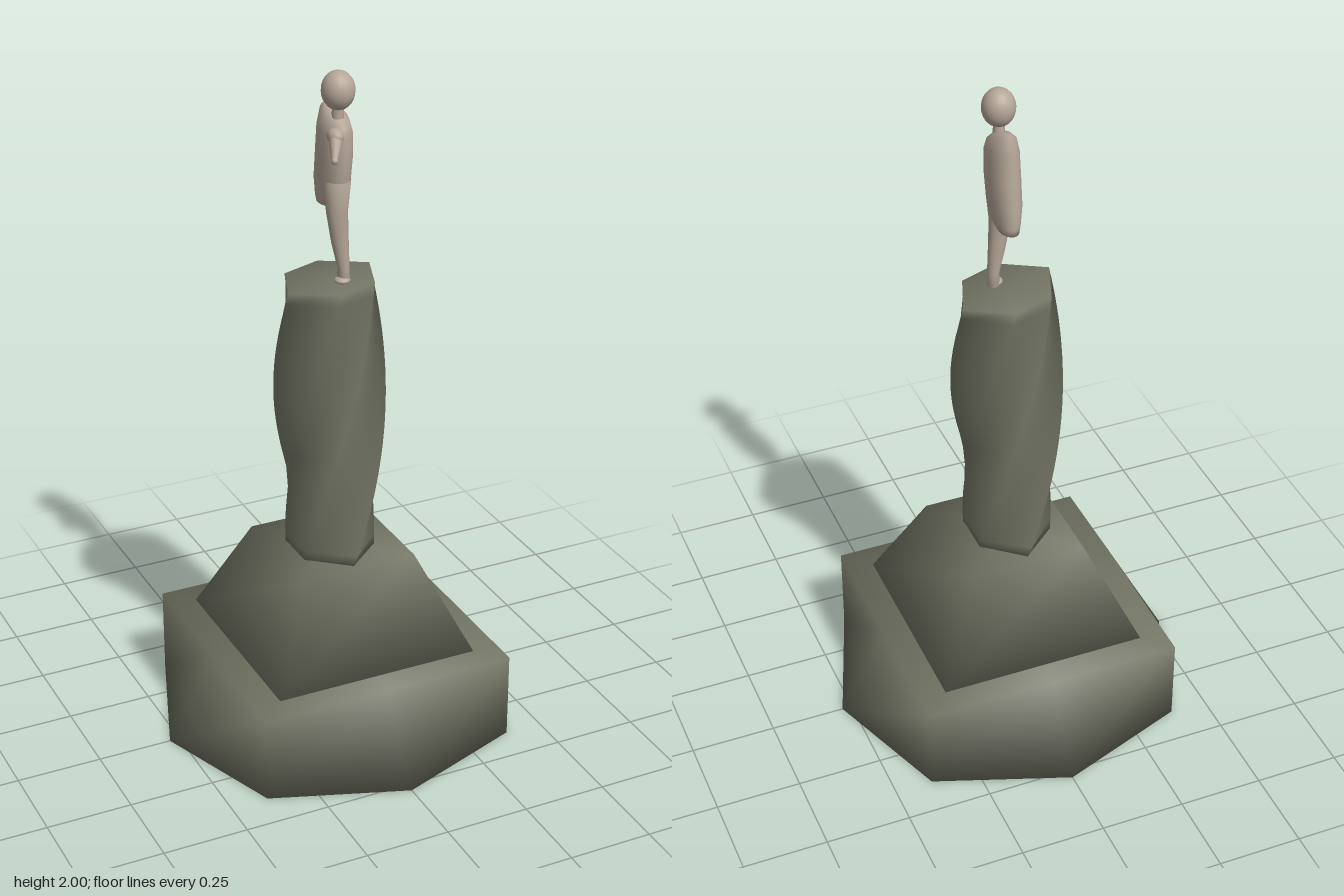
import * as THREE from 'three';

const stone = new THREE.MeshStandardMaterial({ color: 0x717363 });
stone.name = 'weathered stone';
const clay = new THREE.MeshStandardMaterial({ color: 0xb5a698 });
clay.name = 'pale clay';

// Closed smooth skin over rings of [x, y, z], bottom ring first, counterclockwise from above
function loft(name, rings, material) {
  const n = rings[0].length;
  const points = rings.flat();
  const index = [];
  for (let r = 0; r < rings.length - 1; r++) {
    for (let i = 0; i < n; i++) {
      const a = r * n + i, b = r * n + (i + 1) % n;
      index.push(a, b, b + n, a, b + n, a + n);
    }
  }
  const centre = ring => [0, 1, 2].map(k => ring.reduce((s, p) => s + p[k], 0) / n);
  const low = points.push(centre(rings[0])) - 1;
  const high = points.push(centre(rings[rings.length - 1])) - 1;
  const last = (rings.length - 1) * n;
  for (let i = 0; i < n; i++) {
    const j = (i + 1) % n;
    index.push(low, j, i, high, last + i, last + j);
  }
  const geometry = new THREE.BufferGeometry();
  geometry.setAttribute('position', new THREE.Float32BufferAttribute(points.flat(), 3));
  geometry.setIndex(index);
  geometry.computeVertexNormals();
  const mesh = new THREE.Mesh(geometry, material);
  mesh.name = name;
  return mesh;
}

// Polygon ring whose radii repeat around the circle
function polygon(sides, y, radii, turn = 0, cx = 0, cz = 0) {
  return Array.from({ length: sides }, (_, i) => {
    const a = turn + i / sides * Math.PI * 2, r = radii[i % radii.length];
    return [cx + r * Math.cos(a), y, cz - r * Math.sin(a)];
  });
}

// Elliptical ring, lowered towards the front by the tilt
function oval([y, cx, cz, rx, rz, tilt = 0]) {
  return Array.from({ length: 20 }, (_, i) => {
    const a = i / 20 * Math.PI * 2, dz = -rz * Math.sin(a);
    return [cx + rx * Math.cos(a), y - tilt * dz, cz + dz];
  });
}

function ellipsoid(name, x, y, z, rx, ry, rz) {
  const mesh = new THREE.Mesh(new THREE.SphereGeometry(1, 20, 14), clay);
  mesh.scale.set(rx, ry, rz);
  mesh.position.set(x, y, z);
  mesh.name = name;
  return mesh;
}

// Tapered round limb between two points
function limb(name, from, to, r0, r1) {
  const a = new THREE.Vector3(...from), b = new THREE.Vector3(...to);
  const mesh = new THREE.Mesh(new THREE.CylinderGeometry(r1, r0, a.distanceTo(b), 12), clay);
  mesh.position.copy(a).lerp(b, 0.5);
  mesh.quaternion.setFromUnitVectors(new THREE.Vector3(0, 1, 0), b.sub(a).normalize());
  mesh.name = name;
  return mesh;
}

export function createModel() {
  const model = new THREE.Group();
  model.name = 'statueOnPedestal';

  // Pedestal: octagonal foot closing to a square, then a square frustum
  const pedestal = new THREE.Group();
  pedestal.name = 'pedestal';
  pedestal.add(loft('lowerTier', [
    polygon(8, 0, [0.53, 0.55]),
    polygon(8, 0.26, [0.39, 0.55]),
  ], stone));
  pedestal.add(loft('upperTier', [
    polygon(4, 0.255, [0.443], Math.PI / 4),
    polygon(4, 0.55, [0.253], Math.PI / 4),
  ], stone));

  // Twisted column with a stretched six-sided section
  const column = [];
  for (let i = 0; i <= 24; i++) {
    const t = i / 24;
    const turn = THREE.MathUtils.degToRad(90 + 110 * t);
    column.push(polygon(6, 0.545 + 0.845 * t, [0.16, 0.13, 0.13], turn, -0.01, 0.005));
  }
  pedestal.add(loft('twistedColumn', column, stone));
  model.add(pedestal);

  // Cloaked figure
  const figure = new THREE.Group();
  figure.name = 'figure';
  figure.add(loft('cloak', [
    [1.605, 0, -0.028, 0.028, 0.045],
    [1.625, 0, -0.01, 0.036, 0.064],
    [1.68, 0, 0, 0.044, 0.073],
    [1.76, 0.002, 0.008, 0.047, 0.069],
    [1.83, 0.002, 0.013, 0.045, 0.066, 0.2],
    [1.865, 0.002, 0.013, 0.036, 0.06, 0.35],
    [1.882, 0, 0.01, 0.018, 0.044, 0.35],
  ].map(oval), clay));
  figure.add(loft('legs', [
    [1.385, 0.016, 0.04, 0.018, 0.02],
    [1.43, 0.016, 0.04, 0.017, 0.018],
    [1.51, 0.005, 0.04, 0.025, 0.022],
    [1.6, -0.004, 0.04, 0.031, 0.027],
    [1.69, -0.002, 0.04, 0.038, 0.034],
  ].map(oval), clay));
  figure.add(ellipsoid('foot', 0.01, 1.396, 0.045, 0.023, 0.011, 0.022));
  figure.add(limb('neck', [0, 1.85, 0.035], [0, 1.91, 0.037], 0.018, 0.015));
  figure.add(ellipsoid('head', 0, 1.945, 0.038, 0.047, 0.055, 0.047));

  // Raised right arm
  figure.add(ellipsoid('shoulder', -0.022, 1.828, 0.066, 0.022, 0.022, 0.028));
  figure.add(limb('arm', [-0.022, 1.828, 0.07], [-0.046, 1.776, 0.113], 0.021, 0.009));
  figure.add(ellipsoid('hand', -0.046, 1.776, 0.113, 0.01, 0.01, 0.01));
  model.add(figure);

  return model;
}
